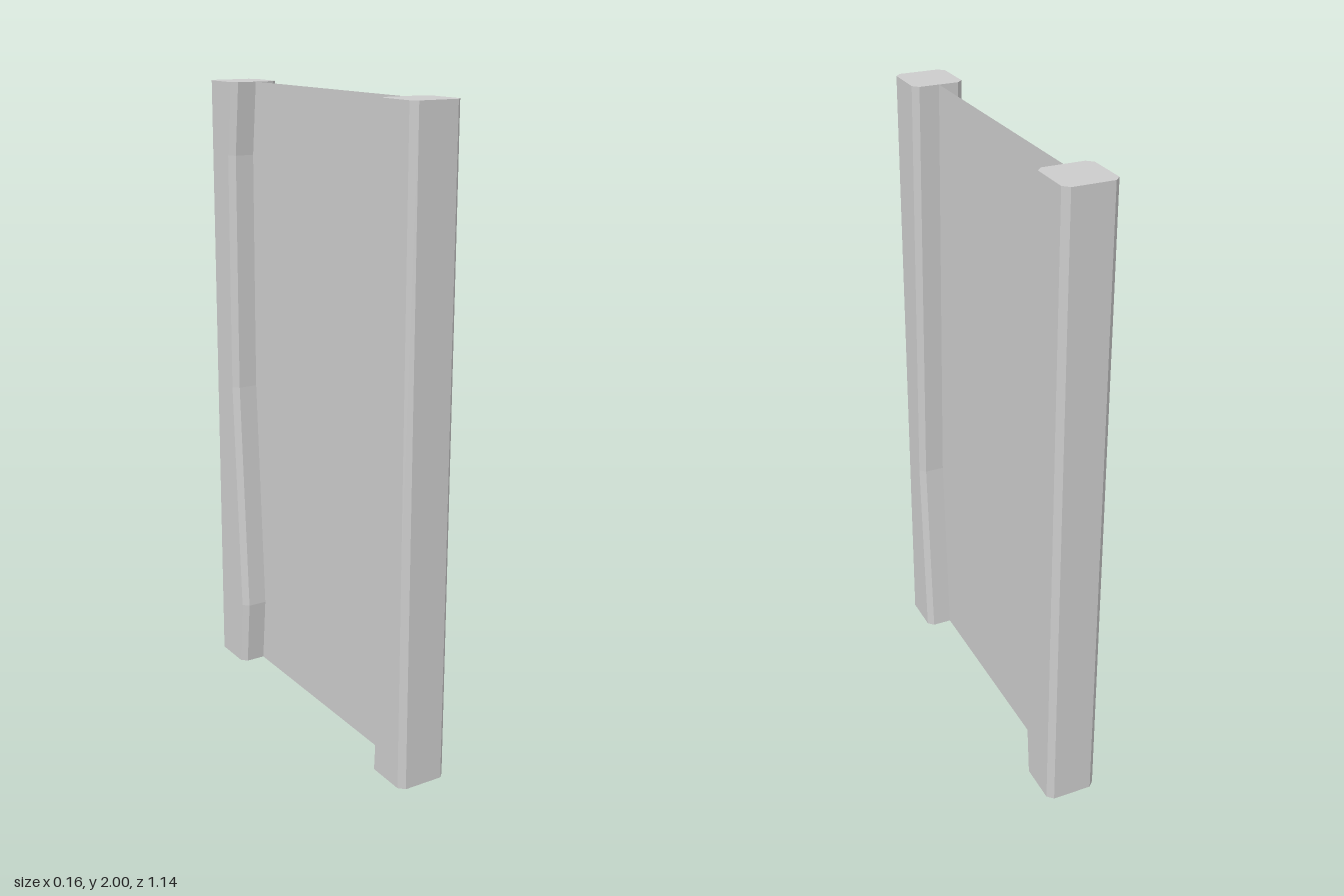
import * as THREE from 'three';

const HEIGHT = 2, HALF_WIDTH = 0.081, OUTER = 0.572, BEVEL = 0.018;

// Bevelled post lofted through levels of [height, distance of the inner face from the middle].
function makePost(name, side, levels, material) {
  const positions = [];
  const rings = levels.map(([y, inner]) => {
    const w = HALF_WIDTH, b = BEVEL;
    const ring = [
      [w - b, OUTER], [w, OUTER - b], [w, inner + b], [w - b, inner],
      [b - w, inner], [-w, inner + b], [-w, OUTER - b], [b - w, OUTER],
    ].map(([x, z]) => [x, y, z * side]);
    // Mirrored posts reverse the ring so that faces still point outwards
    return side > 0 ? ring : ring.reverse();
  });
  const tri = (a, b, c) => positions.push(...a, ...b, ...c);

  // Side walls
  for (let i = 0; i < rings.length - 1; i++) {
    const low = rings[i], high = rings[i + 1];
    for (let j = 0; j < 8; j++) {
      const k = (j + 1) % 8;
      tri(low[j], low[k], high[k]);
      tri(low[j], high[k], high[j]);
    }
  }
  // End caps
  const bottom = rings[0], top = rings[rings.length - 1];
  for (let j = 1; j < 7; j++) {
    tri(top[0], top[j], top[j + 1]);
    tri(bottom[0], bottom[j + 1], bottom[j]);
  }

  const geometry = new THREE.BufferGeometry();
  geometry.setAttribute('position', new THREE.Float32BufferAttribute(positions, 3));
  geometry.computeVertexNormals();
  const post = new THREE.Mesh(geometry, material);
  post.name = name;
  return post;
}

export function createModel() {
  const group = new THREE.Group();
  group.name = 'panelBetweenPosts';
  const postMaterial = new THREE.MeshStandardMaterial({ color: 0xcccccc, flatShading: true });
  const panelMaterial = new THREE.MeshStandardMaterial({ color: 0xcccccc, side: THREE.DoubleSide });

  // Posts with unevenly worn inner faces
  group.add(makePost('frontPost', 1, [[0, 0.41], [0.64, 0.447], [HEIGHT, 0.41]], postMaterial));
  group.add(makePost('backPost', -1,
    [[0, 0.41], [0.22, 0.39], [1, 0.434], [1.2, 0.434], [1.77, 0.432], [HEIGHT, 0.408]], postMaterial));

  // Thin panel, its ends tucked into the posts
  const panel = new THREE.Mesh(new THREE.PlaneGeometry(0.94, HEIGHT), panelMaterial);
  panel.name = 'panel';
  panel.rotation.y = Math.PI / 2;
  panel.position.y = HEIGHT / 2;
  group.add(panel);

  return group;
}
